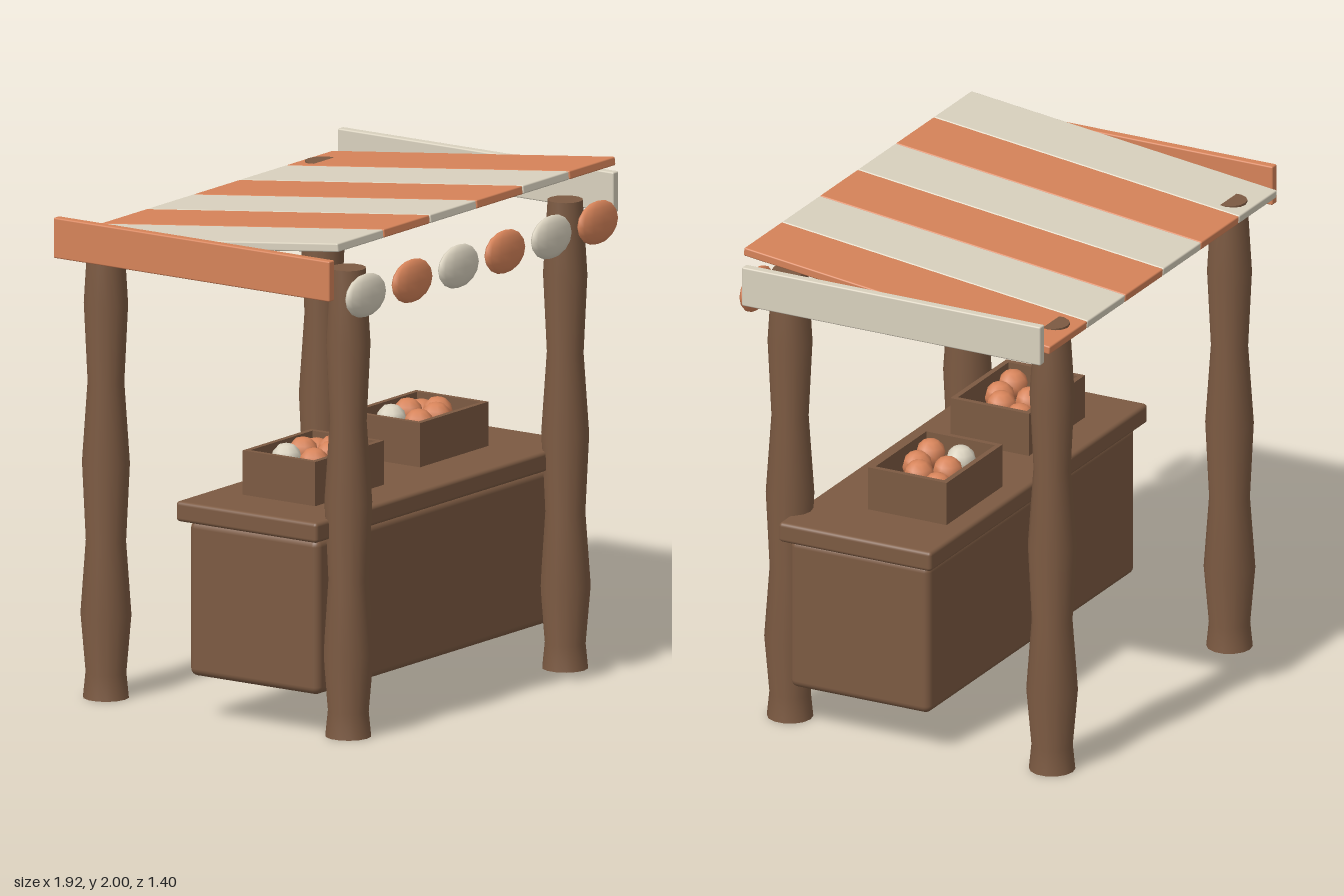
import * as THREE from 'three';
import { toCreasedNormals } from 'three/addons/utils/BufferGeometryUtils.js';
import { RoundedBoxGeometry } from 'three/addons/geometries/RoundedBoxGeometry.js';

export function createModel() {
  const stall = new THREE.Group();
  stall.name = 'marketStall';

  const material = (name, color) => {
    const m = new THREE.MeshStandardMaterial({ color });
    m.name = name;
    return m;
  };
  const wood = material('brownWood', 0x7c5a42);
  const cream = material('creamCloth', 0xd9d1be);
  const orange = material('orangeCloth', 0xd68359);

  const add = (parent, name, geometry, mat, x, y, z) => {
    const mesh = new THREE.Mesh(geometry, mat);
    mesh.name = name;
    mesh.position.set(x, y, z);
    parent.add(mesh);
    return mesh;
  };

  // Posts: wavy turned trunks with flat ends
  const profile = [
    [0, 0], [0.09, 0], [0.08, 0.1], [0.1, 0.33], [0.079, 0.62],
    [0.094, 0.93], [0.072, 1.25], [0.087, 1.56], [0.069, 1.855], [0, 1.855],
  ].map(([r, y]) => new THREE.Vector2(r, y));
  const postGeometry = toCreasedNormals(new THREE.LatheGeometry(profile, 14), 0.7);
  for (const x of [-0.72, 0.72]) {
    add(stall, 'frontPost', postGeometry, wood, x, 0, 0.55);
    add(stall, 'backPost', postGeometry, wood, x, 0, -0.6);
  }

  // Counter
  add(stall, 'counterBody', new RoundedBoxGeometry(1.68, 0.615, 0.615, 3, 0.03), wood, 0, 0.478, 0.183);
  add(stall, 'counterTop', new RoundedBoxGeometry(1.765, 0.08, 0.67, 3, 0.015), wood, 0, 0.825, 0.18);

  // Sloping striped canopy, with a row of rounded flaps along its front
  const canopy = new THREE.Group();
  canopy.name = 'canopy';
  canopy.position.set(0, 1.904, -0.027);
  canopy.rotation.x = -0.116;
  stall.add(canopy);
  const stripeGeometry = new RoundedBoxGeometry(0.305, 0.034, 1.352, 2, 0.006);
  const flapGeometry = new THREE.SphereGeometry(1, 12, 8);
  flapGeometry.scale(0.13, 0.086, 0.033);
  for (let i = 0; i < 6; i++) {
    const x = (i - 2.5) * 0.308;
    const mat = i % 2 ? orange : cream;
    add(canopy, 'canopyStripe', stripeGeometry, mat, x, 0, 0);
    add(stall, 'canopyFlap', flapGeometry, mat, x, 1.77, 0.668);
  }

  // Side boards
  const boardGeometry = new RoundedBoxGeometry(0.037, 0.16, 1.31, 2, 0.006);
  add(stall, 'leftBoard', boardGeometry, cream, 0.943, 1.853, -0.023);
  add(stall, 'rightBoard', boardGeometry, orange, -0.943, 1.853, -0.023);

  // Crates of fruit
  const fruitGeometry = new THREE.SphereGeometry(0.06, 8, 6);
  const fruitSpots = [
    [-0.095, -0.06], [-0.1, 0.075], [0.035, 0.06], [0.03, -0.07], [0.115, 0.01], [0.14, -0.085],
  ];
  const addCrate = (x, z) => {
    const crate = new THREE.Group();
    crate.name = 'crate';
    crate.position.set(x, 0.865, z);
    stall.add(crate);
    const w = 0.455, d = 0.345, h = 0.175, t = 0.022;
    add(crate, 'crateFloor', new THREE.BoxGeometry(w - t, 0.06, d - t), wood, 0, 0.03, 0);
    for (const s of [-1, 1]) {
      add(crate, 'crateLongWall', new THREE.BoxGeometry(w, h, t), wood, 0, h / 2, s * (d - t) / 2);
      add(crate, 'crateEndWall', new THREE.BoxGeometry(t, h, d - 2 * t), wood, s * (w - t) / 2, h / 2, 0);
    }
    fruitSpots.forEach(([fx, fz], i) =>
      add(crate, 'fruit', fruitGeometry, i === 0 ? cream : orange, fx, i === 5 ? 0.11 : 0.136, fz));
  };
  addCrate(-0.412, 0.163);
  addCrate(0.368, 0.103);

  return stall;
}
